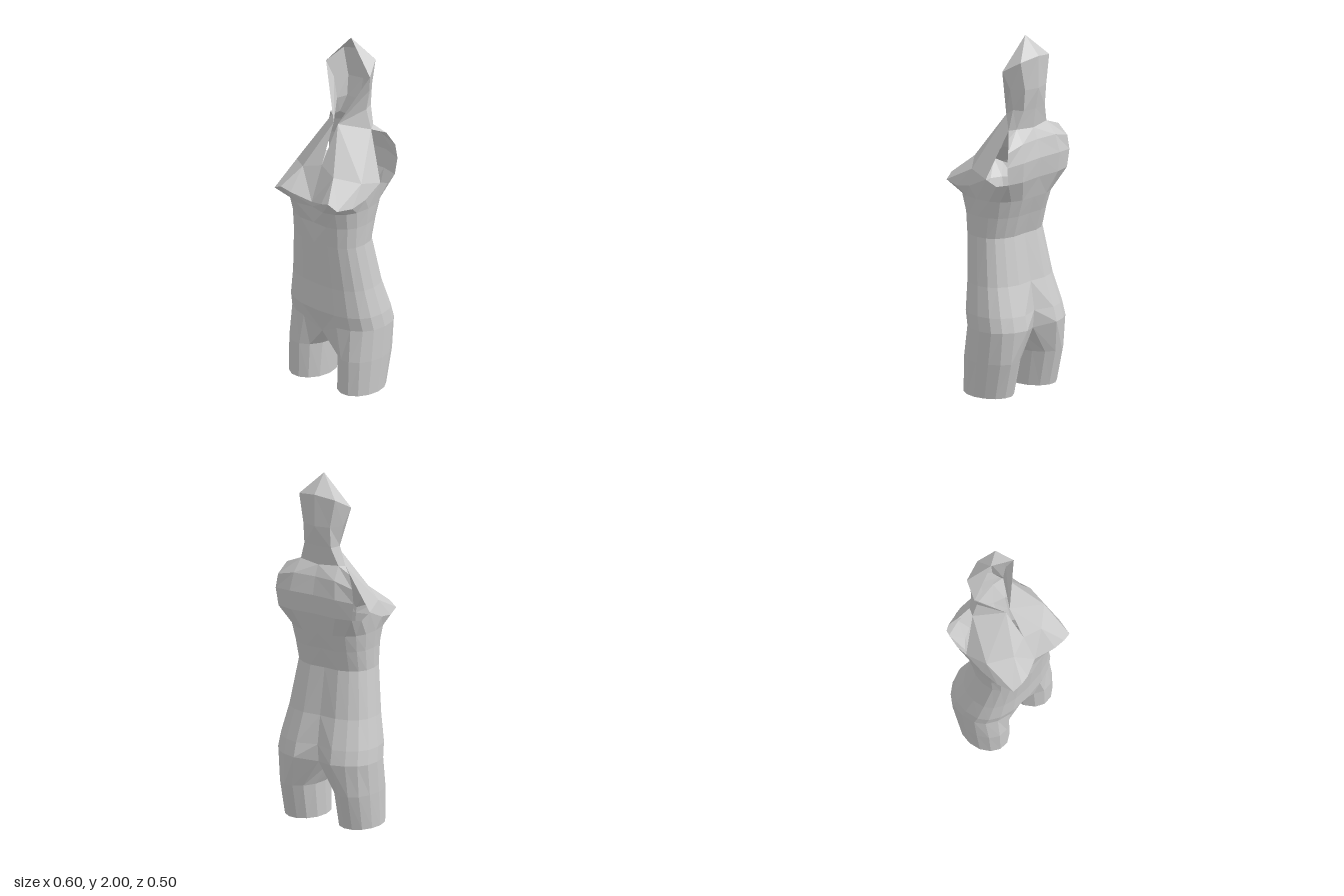
import * as THREE from 'three';

const material = new THREE.MeshStandardMaterial({ color: 0xcccccc, flatShading: true, side: THREE.DoubleSide });

// Mesh from triangles of the left half (+x), mirrored to the right half
function mirroredMesh(name, tris) {
  const pos = [];
  for (const [a, b, c] of tris) {
    pos.push(...a, ...b, ...c);
    for (const p of [a, c, b]) pos.push(-p[0], p[1], p[2]);
  }
  const geo = new THREE.BufferGeometry();
  geo.setAttribute('position', new THREE.Float32BufferAttribute(pos, 3));
  geo.computeVertexNormals();
  const mesh = new THREE.Mesh(geo, material);
  mesh.name = name;
  return mesh;
}

// Triangles between rows of points; rows run upward, points run front to back
function loft(rows, closed = false) {
  const tris = [];
  for (let r = 0; r + 1 < rows.length; r++) {
    const lo = rows[r], hi = rows[r + 1], n = lo.length;
    for (let i = 0; i < (closed ? n : n - 1); i++) {
      const j = (i + 1) % n;
      tris.push([lo[i], lo[j], hi[j]], [lo[i], hi[j], hi[i]]);
    }
  }
  return tris;
}

const spow = (v, e) => Math.sign(v) * Math.abs(v) ** e;

// Half cross-section of the torso, with hollows at the centre front and back
function halfSection([y, w, front, back, dipF, dipB]) {
  const mid = (front + back) / 2, depth = (front - back) / 2;
  const pts = [];
  for (let i = 0; i <= 10; i++) {
    const t = (i / 10) * Math.PI;
    pts.push([i % 10 ? w * spow(Math.sin(t), 0.8) : 0, y, mid + depth * spow(Math.cos(t), 0.8)]);
  }
  pts[0][2] -= dipF;
  pts[10][2] += dipB;
  return pts;
}

// Closed leg ring: 11 outer points, then 3 on the inside of the thigh
function legRing(y, x0, x1, front, back) {
  const pts = [];
  for (let i = 0; i < 14; i++) {
    const deg = i <= 10 ? -36 + 25.2 * i : 216 + 27 * (i - 10);
    const t = THREE.MathUtils.degToRad(deg);
    pts.push([
      (x0 + x1) / 2 + ((x1 - x0) / 2) * Math.sin(t), y,
      (front + back) / 2 + ((front - back) / 2) * Math.cos(t),
    ]);
  }
  return pts;
}

export function createModel() {
  const model = new THREE.Group();

  // Hip row shared by torso and legs; its centre drops toward the crotch
  const hip = halfSection([0.38, 0.3, 0.135, -0.255, 0.025, 0.075]);
  hip[0][1] = 0.32;
  hip[10][1] = 0.36;
  const crotch = [[0, 0.31, -0.1], [0, 0.28, -0.02], [0, 0.285, 0.05]];

  // Legs, open at the bottom
  model.add(mirroredMesh('legs', loft([
    legRing(0, 0.055, 0.29, 0.135, -0.165),
    legRing(0.2, 0.048, 0.298, 0.132, -0.212),
    [...hip, ...crotch],
  ], true)));

  // Bust line at the front, running under the armhole to the back
  const bust = [
    [0, 1.13, 0.197], [0.11, 1.17, 0.245], [0.17, 1.19, 0.257], [0.225, 1.16, 0.245],
    [0.25, 1.15, 0.15], [0.257, 1.17, 0.05], [0.258, 1.23, -0.07], [0.25, 1.2, -0.14],
    [0.235, 1.22, -0.215], [0.14, 1.22, -0.235], [0, 1.22, -0.225],
  ];
  const torsoRows = [
    [0.46, 0.293, 0.152, -0.235, 0, 0.045],
    [0.62, 0.262, 0.155, -0.18, 0, 0.015],
    [0.88, 0.226, 0.178, -0.13, 0, 0.01],
    [1.0, 0.232, 0.19, -0.165, 0.01, 0.01],
    [1.1, 0.244, 0.222, -0.2, 0.03, 0.01],
  ].map(halfSection);
  model.add(mirroredMesh('torso', loft([hip, ...torsoRows, bust])));

  // Upper back, from the bottom of the armhole to the shoulders
  const shoulderRow = [[0.2, 1.47, -0.185], [0.12, 1.5, -0.17], [0, 1.49, -0.185]];
  const shoulder = [0.14, 1.49, -0.13];
  model.add(mirroredMesh('upperBack', [
    ...loft([
      bust.slice(8),
      [[0.25, 1.32, -0.22], [0.145, 1.33, -0.245], [0, 1.33, -0.237]],
      [[0.238, 1.4, -0.215], [0.13, 1.43, -0.225], [0, 1.43, -0.215]],
      shoulderRow,
    ]),
    [shoulder, shoulderRow[0], shoulderRow[1]],
  ]));

  // Front yoke with a narrow slit at the throat
  const slit = [0, 1.32, 0.115], throat = [0.015, 1.53, 0];
  const chest = [0.11, 1.29, 0.145], armEdge = [0.232, 1.26, 0.055];
  model.add(mirroredMesh('yoke', [
    [bust[0], bust[1], chest], [bust[0], chest, slit], [slit, chest, throat],
    [chest, bust[1], bust[2]], [chest, bust[2], bust[3]], [chest, bust[3], armEdge],
    [bust[3], bust[4], armEdge], [bust[4], bust[5], armEdge], [bust[5], bust[6], armEdge],
    [throat, chest, armEdge], [throat, armEdge, shoulder], [armEdge, bust[6], shoulder],
  ]));

  // Hood, open at the front
  const neck = [[0.105, 1.6, -0.13], [0.085, 1.6, -0.19], [0, 1.6, -0.2]];
  const nape = [[0.127, 1.72, -0.13], [0.085, 1.72, -0.2], [0, 1.72, -0.222]];
  const crown = [[0.158, 1.82, -0.1], [0.115, 1.88, -0.195], [0, 1.9, -0.222]];
  const peak = [0, 2, -0.125];
  model.add(mirroredMesh('hood', [
    ...loft([shoulderRow.slice(1), neck.slice(1)]),
    ...loft([neck, nape, crown]),
    [neck[0], shoulder, shoulderRow[1]], [neck[0], shoulderRow[1], neck[1]],
    [throat, shoulder, neck[0]], [throat, neck[0], nape[0]], [throat, nape[0], crown[0]],
    [crown[0], crown[1], peak], [crown[1], crown[2], peak],
  ]));

  return model;
}
